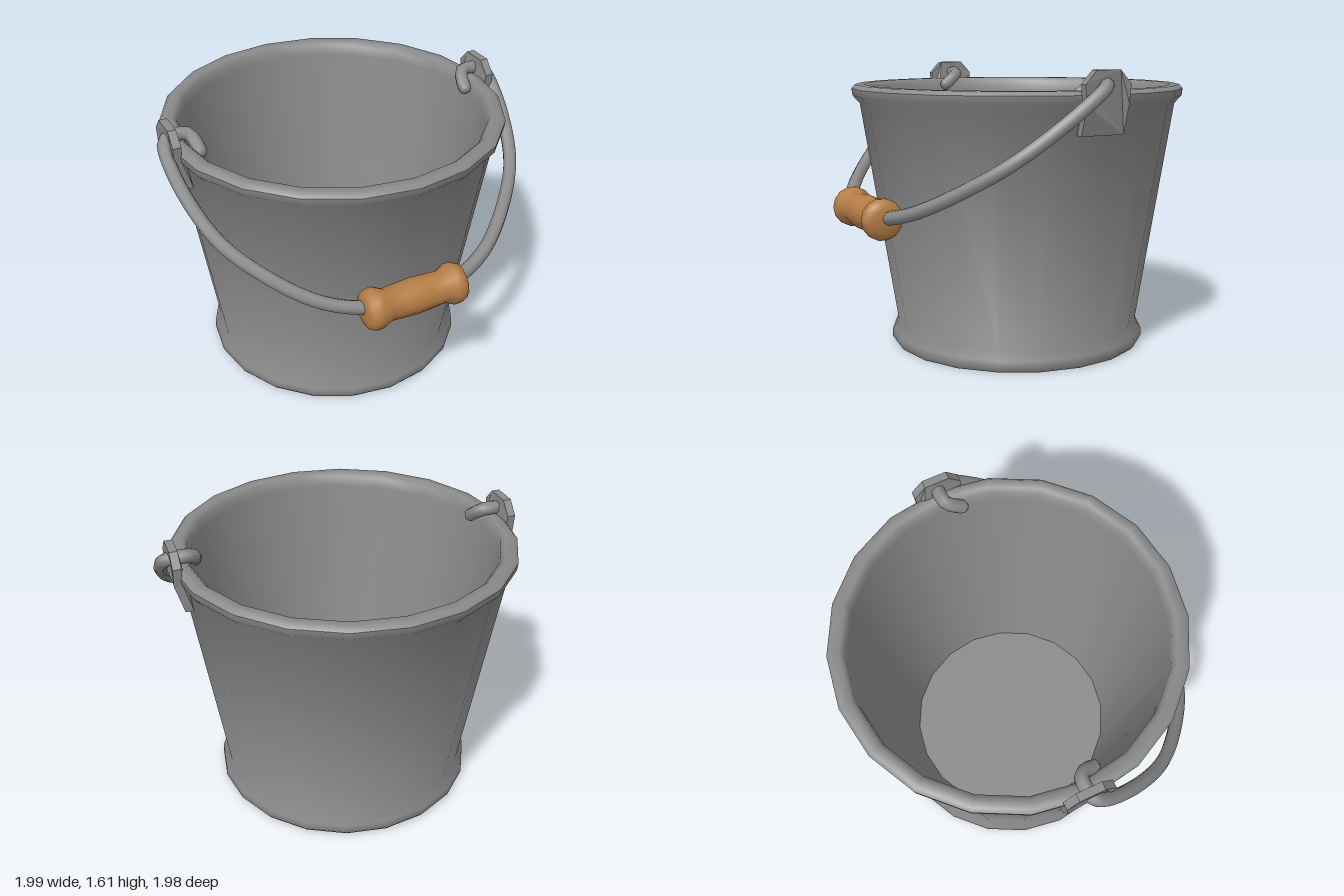
import * as THREE from 'three';
import { toCreasedNormals } from 'three/addons/utils/BufferGeometryUtils.js';

const steel = new THREE.MeshStandardMaterial({ color: 0x8a8a8a });
steel.name = 'grey steel';
const wood = new THREE.MeshStandardMaterial({ color: 0xb57d45 });
wood.name = 'brown wood';

function part(name, geometry, material) {
  const mesh = new THREE.Mesh(geometry, material);
  mesh.name = name;
  return mesh;
}

function lathe(points, segments, crease) {
  const profile = points.map(([r, y]) => new THREE.Vector2(r, y));
  return toCreasedNormals(new THREE.LatheGeometry(profile, segments), crease);
}

// Ear plate: square foot on the wall, chamfered top above the rim
function earGeometry() {
  const outline = [
    [-0.125, 1.28], [0.125, 1.28], [0.125, 1.44], [0.135, 1.54],
    [0.07, 1.61], [-0.07, 1.61], [-0.135, 1.54], [-0.125, 1.44],
  ].map(([x, y]) => new THREE.Vector2(x, y));
  const g = new THREE.ExtrudeGeometry(new THREE.Shape(outline), { depth: 0.045, bevelEnabled: false });
  g.rotateY(Math.PI / 2);
  // lean the foot in towards the tapering wall
  const p = g.attributes.position;
  for (let i = 0; i < p.count; i++) {
    const lean = Math.max(0, 1.44 - p.getY(i)) * 0.3;
    p.setX(i, p.getX(i) + 0.922 - lean);
  }
  g.computeVertexNormals();
  return g;
}

// Half of the wire bail, from the hooked tip inside the rim to the grip
function handlePoints() {
  const slope = (x, z) => new THREE.Vector3(x, 1.54 - 0.775 * z, z);
  const half = [
    [0.81, 0.09], [0.822, 0.03], [0.85, 0], [0.93, 0], [0.965, 0.01], [0.985, 0.05],
    [0.97, 0.25], [0.88, 0.49], [0.7, 0.69], [0.49, 0.84], [0.27, 0.915],
  ].map(([x, z]) => slope(x, z));
  const mirrored = half.map((v) => new THREE.Vector3(-v.x, v.y, v.z)).reverse();
  return [...half, slope(0, 0.93), ...mirrored];
}

export function createModel() {
  const model = new THREE.Group();
  model.name = 'bucket';

  // Hollow body with flared foot and rolled rim
  model.add(part('bucketBody', lathe([
    [0, 0.005], [0.73, 0.005], [0.745, 0.025], [0.743, 0.07], [0.707, 0.125],
    [0.905, 1.4], [0.945, 1.445], [0.95, 1.485], [0.93, 1.507],
    [0.88, 1.507], [0.857, 1.485], [0.85, 1.43], [0.598, 0.08], [0, 0.08],
  ], 20, 0.85), steel));

  // Ears on both sides
  const ear = earGeometry();
  for (const side of [1, -1]) {
    const mesh = part(side > 0 ? 'leftEar' : 'rightEar', ear, steel);
    mesh.rotation.y = side > 0 ? 0 : Math.PI;
    model.add(mesh);
  }

  // Swinging wire handle with closed tips
  const points = handlePoints();
  const curve = new THREE.CatmullRomCurve3(points);
  model.add(part('handleWire', new THREE.TubeGeometry(curve, 100, 0.038, 8), steel));
  for (const tip of [points[0], points[points.length - 1]]) {
    const cap = part('handleTip', new THREE.SphereGeometry(0.038, 8, 6), steel);
    cap.position.copy(tip);
    model.add(cap);
  }

  // Turned wooden grip
  const half = [[0, 0.295], [0.07, 0.295], [0.1, 0.28], [0.113, 0.25], [0.112, 0.215], [0.088, 0.165], [0.094, 0.08]];
  const lower = half.map(([r, y]) => [r, -y]);
  const grip = part('grip', lathe([...lower, [0.098, 0], ...half.slice().reverse()], 14, 0.9), wood);
  grip.rotation.z = Math.PI / 2;
  grip.position.set(0, 0.819, 0.93);
  model.add(grip);

  // Turn the bail off to one side and centre the whole
  model.rotation.y = Math.PI / 6;
  model.position.set(-0.045, 0, -0.045);
  const root = new THREE.Group();
  root.add(model);
  return root;
}
